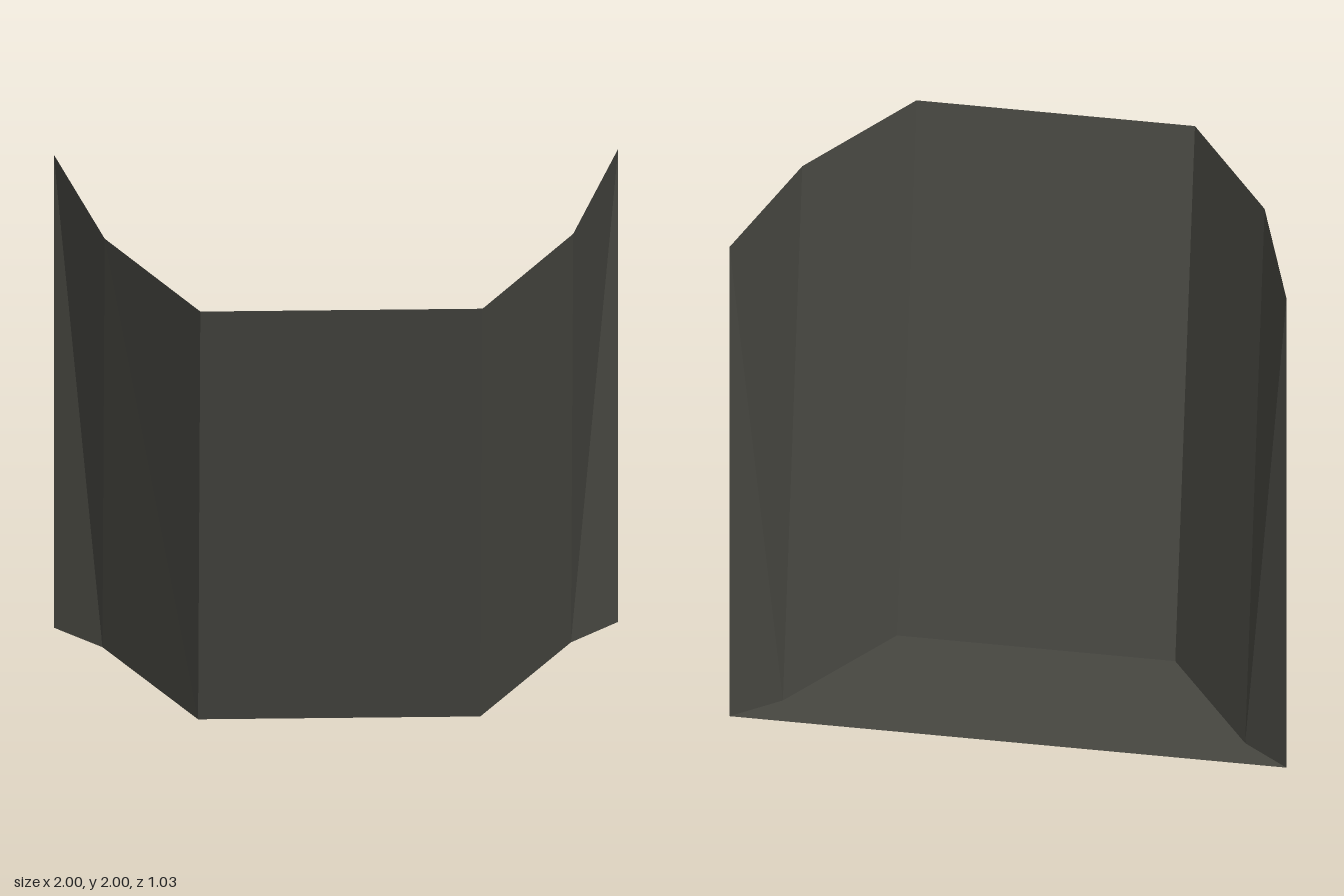
import * as THREE from 'three';

// Half outline of the shell, from the front corner to the rear edge: x, z at top, z at floor
const OUTLINE = [
  [0.5, 0.515, 0.09],
  [0.83, 0.035, -0.385],
  [1, -0.515, -0.515],
];
const HEIGHT = 2;

const top = ([x, z], side) => [side * x, HEIGHT, z];
const base = ([x, , z], side) => [side * x, 0, z];

// Flat-shaded mesh from a list of triangles
function facets(name, triangles, material) {
  const geometry = new THREE.BufferGeometry();
  geometry.setAttribute('position', new THREE.Float32BufferAttribute(triangles.flat(2), 3));
  geometry.computeVertexNormals();
  const mesh = new THREE.Mesh(geometry, material);
  mesh.name = name;
  return mesh;
}

// Two triangles split along the b-d diagonal
const quad = (a, b, c, d) => [[a, b, d], [b, c, d]];

export function createModel() {
  const group = new THREE.Group();
  group.name = 'openShell';
  const darkGrey = new THREE.MeshStandardMaterial({ color: 0x464640, side: THREE.DoubleSide });
  darkGrey.name = 'darkOliveGrey';

  const [front, middle, rear] = OUTLINE;

  // Sloping front panel
  group.add(facets('frontPanel',
    quad(base(front, -1), base(front, 1), top(front, 1), top(front, -1)), darkGrey));

  // Each side: an angled panel and a twisted rear panel
  for (const side of [1, -1]) {
    const label = side > 0 ? 'left' : 'right';
    [[front, middle, 'AnglePanel'], [middle, rear, 'RearPanel']].forEach(([p, q, part]) => {
      let triangles = quad(top(p, side), base(p, side), base(q, side), top(q, side));
      if (side < 0) triangles = triangles.map(([a, b, c]) => [a, c, b]);
      group.add(facets(label + part, triangles, darkGrey));
    });
  }

  // Floor, in strips between mirrored outline points
  const floor = [];
  for (let i = 0; i < OUTLINE.length - 1; i++) {
    const p = OUTLINE[i], q = OUTLINE[i + 1];
    floor.push(...quad(base(p, -1), base(p, 1), base(q, 1), base(q, -1)));
  }
  group.add(facets('floor', floor, darkGrey));

  return group;
}
